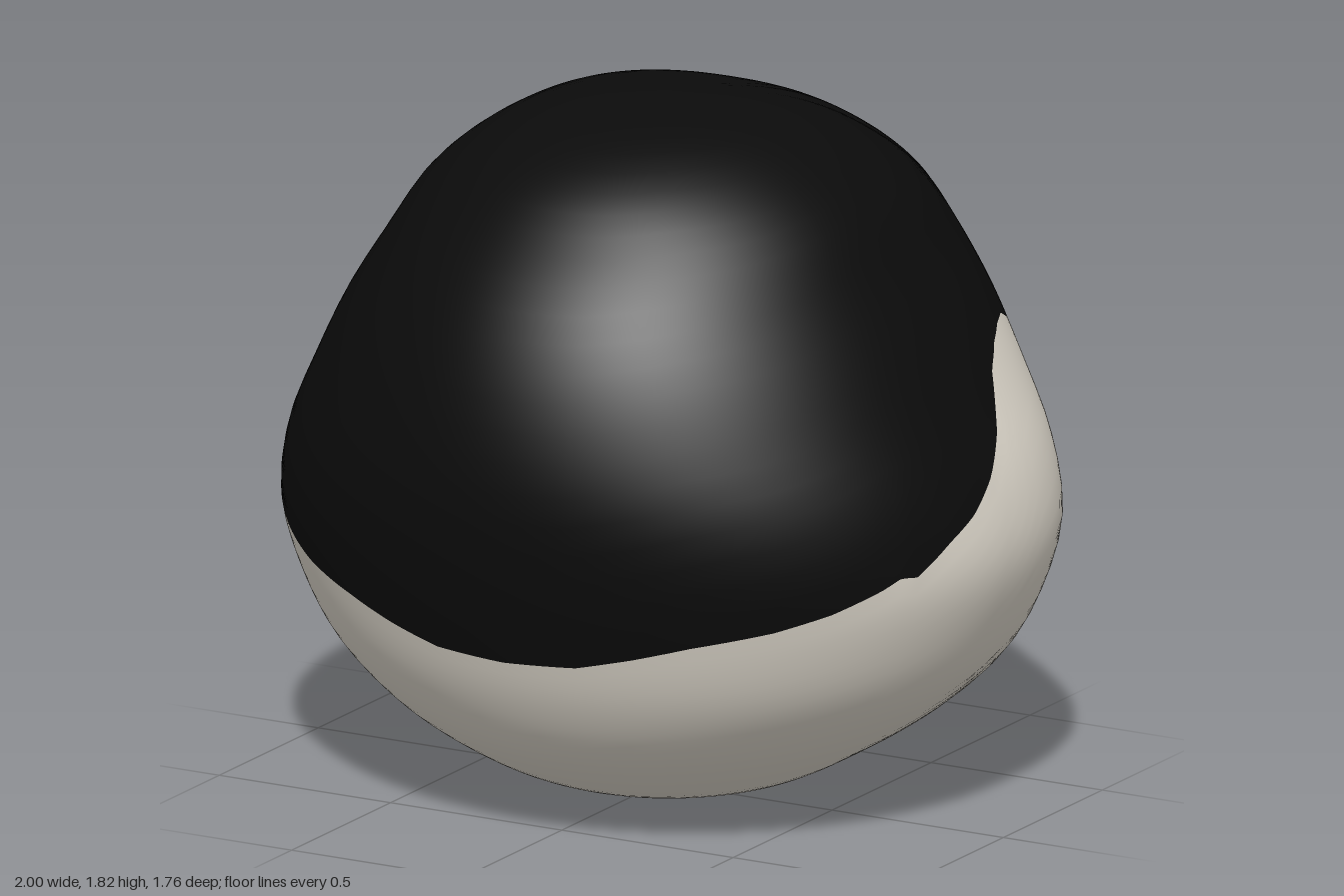
import * as THREE from 'three';

const material = (name, color) => {
  const m = new THREE.MeshStandardMaterial({ color });
  m.name = name;
  return m;
};

const CENTRE_Z = -0.03;
// Head cross-sections: height, half width, depth towards +z, depth towards -z (the face)
const SECTIONS = [
  [0, 0, 0, 0], [0.015, 0.2, 0.19, 0.18], [0.06, 0.38, 0.37, 0.36], [0.14, 0.54, 0.53, 0.52],
  [0.25, 0.71, 0.67, 0.66], [0.39, 0.86, 0.77, 0.77], [0.55, 0.95, 0.84, 0.83], [0.73, 1.0, 0.89, 0.847],
  [0.92, 0.97, 0.915, 0.83], [1.1, 0.89, 0.9, 0.805], [1.28, 0.8, 0.85, 0.77], [1.44, 0.7, 0.765, 0.72],
  [1.575, 0.615, 0.645, 0.635], [1.68, 0.5, 0.53, 0.51], [1.76, 0.36, 0.37, 0.355], [1.802, 0.2, 0.19, 0.18],
  [1.815, 0, 0, 0],
];
const curve = (fn) => new THREE.CatmullRomCurve3(SECTIONS.map(fn), false, 'catmullrom', 0.5);
const heights = curve((s) => new THREE.Vector3(s[0], 0, 0));
const radii = curve((s) => new THREE.Vector3(s[1], s[2], s[3]));

// Hairline as [degrees round from the face, height]: sides are shared, fringe differs
const SIDE = [
  [48.8, 1.37], [53.3, 1.26], [55.4, 1.205], [58, 1.21], [62.4, 1.24], [67.6, 1.235], [73, 1.21],
  [78.8, 1.16], [85.6, 1.03], [91.8, 0.94], [97.6, 0.87], [103.5, 0.82], [110, 0.75], [112.8, 0.755],
  [116, 0.73], [124, 0.68], [133, 0.64], [146, 0.6], [156, 0.56], [166, 0.525], [180, 0.515],
];
const LEFT_LINE = [
  [0, 1.66], [12, 1.645], [15, 1.605], [17, 1.635], [23, 1.642], [25, 1.62], [26, 1.56], [28, 1.63],
  [31, 1.63], [33, 1.61], [34, 1.44], [38, 1.56], [42, 1.59], [47, 1.55], ...SIDE,
];
const RIGHT_LINE = [
  [0, 1.66], [7.4, 1.655], [16, 1.65], [23, 1.64], [35, 1.65], [42, 1.624], [46.8, 1.575], [48, 1.45], ...SIDE,
];

function hairHeight(deg) {
  const line = deg >= 0 ? LEFT_LINE : RIGHT_LINE;
  const d = Math.abs(deg);
  const i = Math.max(1, line.findIndex((p) => p[0] >= d));
  const [a, b] = [line[i - 1], line[i]];
  return THREE.MathUtils.mapLinear(d, a[0], b[0], a[1], b[1]);
}

// Curve parameter at a given height
function paramAt(y) {
  let lo = 0, hi = 1;
  for (let k = 0; k < 24; k++) {
    const mid = (lo + hi) / 2;
    if (heights.getPoint(mid).x < y) lo = mid; else hi = mid;
  }
  return (lo + hi) / 2;
}

// Point on the head; the face side is a little squarer than the other
function headPoint(deg, t, lift = 0) {
  const a = THREE.MathUtils.degToRad(deg);
  const s = Math.sin(a), c = Math.cos(a);
  const q = radii.getPoint(t);
  const n = c > 0 ? 2.35 : 2;
  const w = Math.max(q.x, 1e-5), d = Math.max(c > 0 ? q.z : q.y, 1e-5);
  const r = Math.pow(Math.pow(Math.abs(s) / w, n) + Math.pow(Math.abs(c) / d, n), -1 / n) + lift;
  return [r * s, heights.getPoint(t).x, CENTRE_Z - r * c];
}

// Closed band of the head between two borders
function band(from, to, rows) {
  const cols = 360, pos = [], index = [];
  for (let i = 0; i < cols; i++) {
    const deg = i - 179;
    const t0 = from(deg), t1 = to(deg);
    for (let j = 0; j <= rows; j++) pos.push(...headPoint(deg, t0 + (t1 - t0) * j / rows));
  }
  for (let i = 0; i < cols; i++) {
    for (let j = 0; j < rows; j++) {
      const p = i * (rows + 1) + j, q = ((i + 1) % cols) * (rows + 1) + j;
      index.push(p, p + 1, q, q, p + 1, q + 1);
    }
  }
  const g = new THREE.BufferGeometry();
  g.setAttribute('position', new THREE.Float32BufferAttribute(pos, 3));
  g.setIndex(index);
  g.computeVertexNormals();
  return g;
}

// Lays a flat geometry onto the face
function wrap(geometry, deg, y, lift) {
  const p = geometry.attributes.position;
  for (let i = 0; i < p.count; i++) {
    const turn = THREE.MathUtils.radToDeg(p.getX(i) / 0.84);
    p.setXYZ(i, ...headPoint(deg - turn, paramAt(y + p.getY(i)), lift));
  }
  geometry.computeVertexNormals();
  return geometry;
}

// Lower lid line, thick in the middle and tapering to its ends
function lidLine() {
  const g = new THREE.RingGeometry(0.1, 0.12, 24, 1, Math.PI * 1.17, Math.PI * 0.66);
  const p = g.attributes.position;
  for (let i = 0; i < p.count; i++) {
    const x = p.getX(i), y = p.getY(i);
    const len = Math.hypot(x, y);
    const r = len > 0.11 ? 0.115 : 0.111 - 0.018 * Math.max(0, -y / len - 0.45);
    p.setXY(i, x / len * r, y / len * r);
  }
  return g;
}

export function createModel() {
  const skin = material('skin', 0xe2dcd0);
  const black = material('black', 0x0b0b0b);
  const blue = material('blue', 0x4a78ac);
  const model = new THREE.Group();
  model.name = 'head';
  const add = (name, geometry, mat, parent = model) => {
    const mesh = new THREE.Mesh(geometry, mat);
    mesh.name = name;
    parent.add(mesh);
  };

  // Face and hair meet along the hairline
  const hairline = (deg) => paramAt(hairHeight(deg));
  add('face', band(() => 0, hairline, 28), skin);
  add('hair', band(hairline, () => 1, 24), black);

  // Eyes
  for (const side of [1, -1]) {
    const eye = new THREE.Group();
    eye.name = side > 0 ? 'leftEye' : 'rightEye';
    const deg = side * 32, y = 1.215;
    add('iris', wrap(new THREE.CircleGeometry(1, 32).scale(0.062, 0.064, 1), deg, y, 0.004), blue, eye);
    add('pupil', wrap(new THREE.CircleGeometry(1, 20).scale(0.024, 0.02, 1), deg, y + 0.008, 0.007), black, eye);
    add('pupilSpot', wrap(new THREE.CircleGeometry(1, 16).scale(0.014, 0.009, 1), deg, y - 0.027, 0.007), black, eye);
    add('lowerLid', wrap(lidLine(), deg, y, 0.004), black, eye);
    model.add(eye);
  }
  return model;
}
